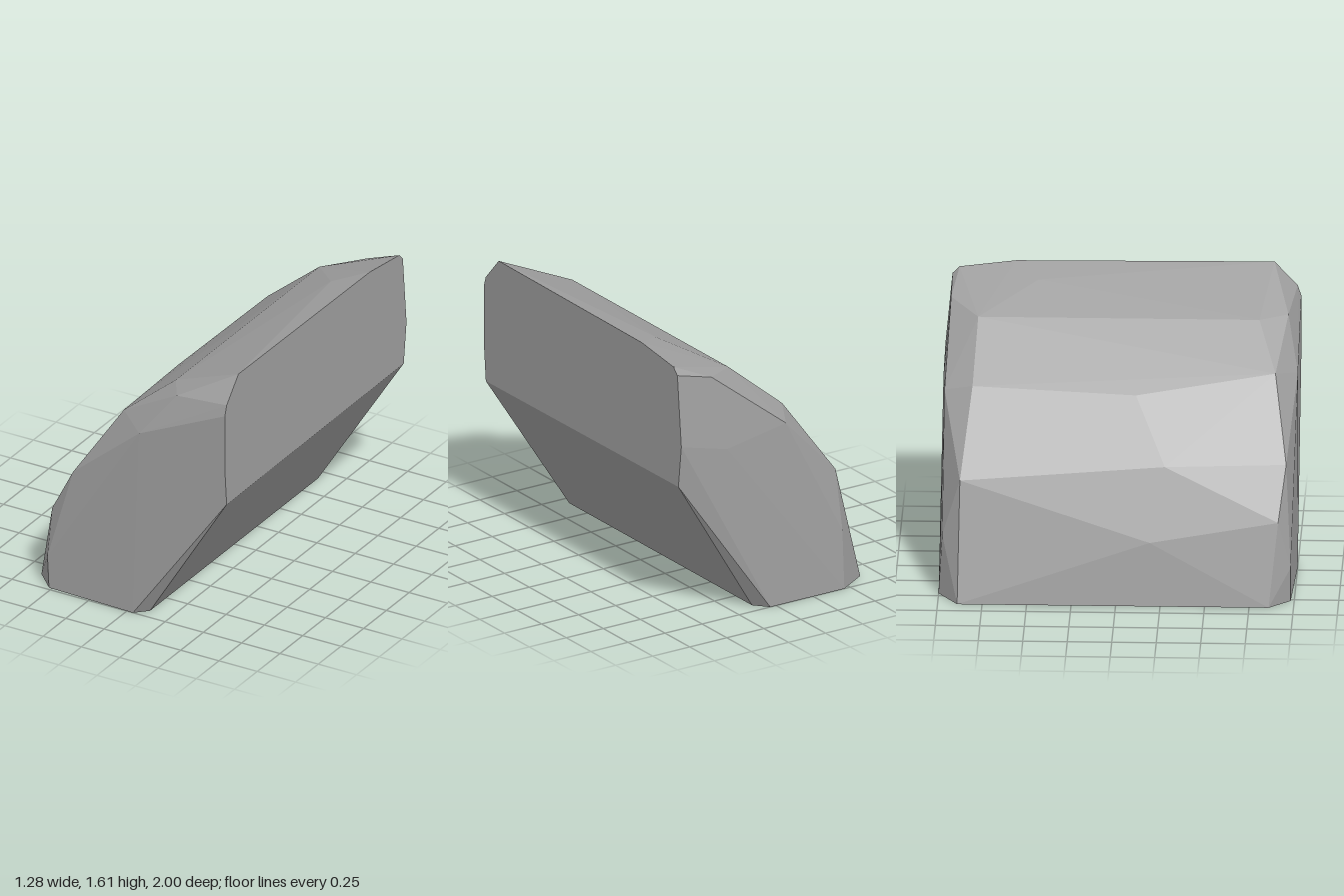
import * as THREE from 'three';
import { ConvexGeometry } from 'three/addons/geometries/ConvexGeometry.js';

// Corners of each side of the hewn block, as [x, y, z]
const base = [
  [-0.64, 0, 0.86], [-0.52, 0, 0.98], [0.04, 0, 1], [0.11, 0, 0.93],
  [0.11, 0, -0.92], [0.04, 0, -1], [-0.46, 0, -1], [-0.64, 0, -0.89],
];
const cutEnd = [
  [0.64, 0.84, 0.98], [0.64, 1.07, 1], [0.64, 1.41, 1], [0.64, 1.47, 0.98], [0.64, 1.61, 0.85],
  [0.64, 1.6, -0.6], [0.64, 1.56, -0.92], [0.64, 1.52, -0.96], [0.64, 1.1, -1], [0.64, 0.85, -0.97],
];
const frontRim = [
  [-0.53, 0.2, 0.98], [-0.54, 0.47, 0.91], [-0.38, 0.76, 0.95], [-0.09, 1.2, 0.88],
  [0.29, 1.42, 0.94], [0.08, 1.15, 1],
];
const curvedBack = [
  [-0.59, 0.36, 0.19], [-0.44, 0.76, 0.27], [-0.2, 1.1, 0.1], [0.19, 1.42, 0.78],
  [0.19, 1.42, -0.8], [0.46, 1.55, -0.47], [-0.16, 1.13, -0.82], [-0.48, 0.68, -0.88],
];
const rearRim = [
  [-0.46, 0.35, -0.98], [-0.08, 1.08, -0.98], [0.41, 1.46, -0.96], [0.33, 1.02, -1],
];

export function createModel() {
  const group = new THREE.Group();
  group.name = 'stoneBlock';
  const stone = new THREE.MeshStandardMaterial({ color: 0xa0a0a0, flatShading: true });
  stone.name = 'grey stone';

  // One faceted convex block spanning all the corners
  const corners = [...base, ...cutEnd, ...frontRim, ...curvedBack, ...rearRim]
    .map((p) => new THREE.Vector3(...p));
  const block = new THREE.Mesh(new ConvexGeometry(corners), stone);
  block.name = 'block';
  group.add(block);
  return group;
}
